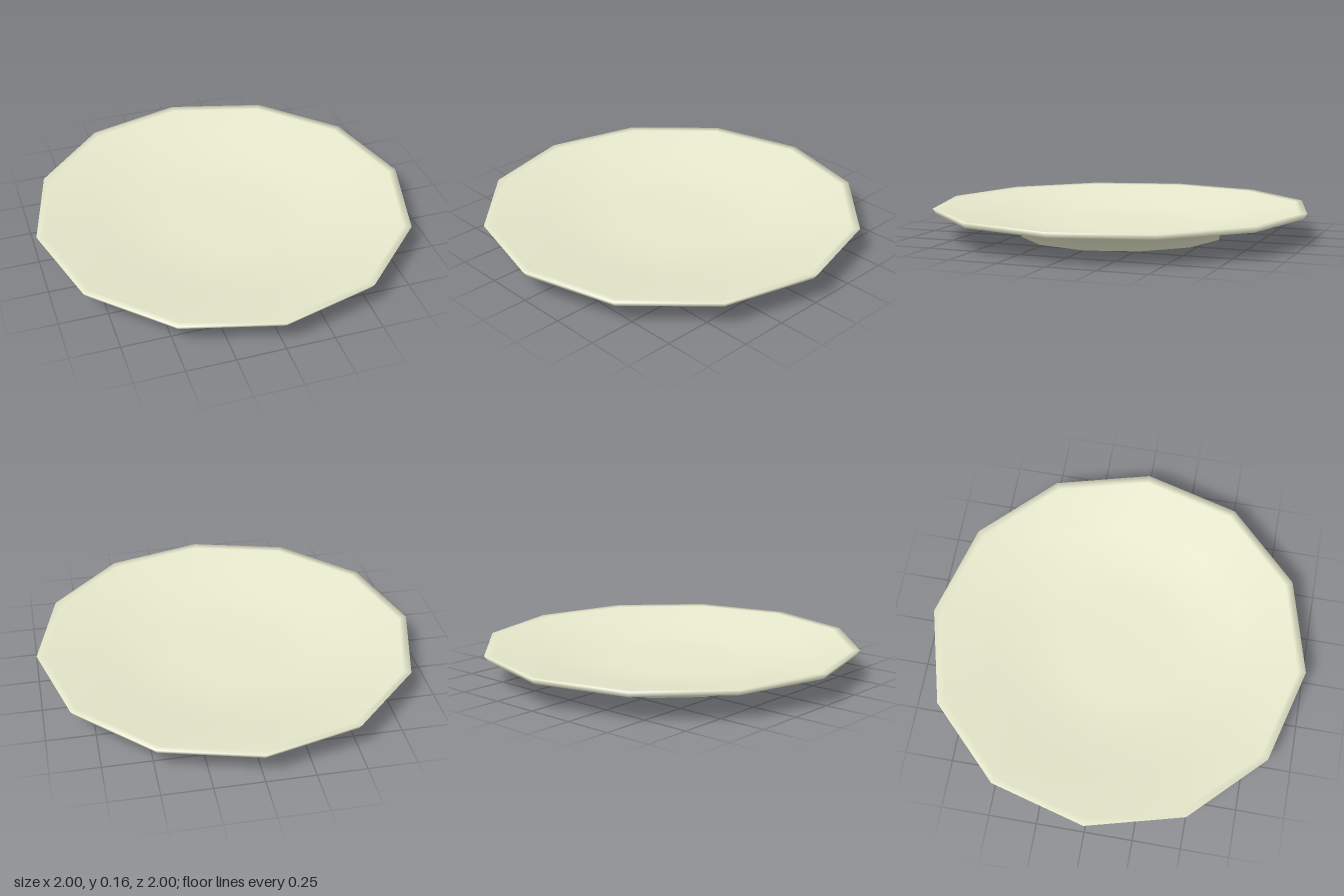
import * as THREE from 'three';

const SIDES = 12;

export function createModel() {
  const group = new THREE.Group();
  group.name = 'plate';
  const glaze = new THREE.MeshStandardMaterial({ color: 0xe6e8cc });

  // Spins a profile of [radius, height] pairs; it runs from the underside out and up
  const turned = (name, profile) => {
    const points = profile.map(([r, y]) => new THREE.Vector2(r, y));
    const mesh = new THREE.Mesh(new THREE.LatheGeometry(points, SIDES), glaze);
    mesh.name = name;
    group.add(mesh);
  };

  // Recessed floor inside the foot ring
  turned('underside', [[0, 0.035], [0.49, 0.03]]);

  // Foot ring, flared underside, rim lip and shallow well
  turned('dish', [
    [0.48, 0.035], [0.5, 0], [0.54, 0], [0.54, 0.03],
    [0.69, 0.08], [0.98, 0.13], [1, 0.16], [0.96, 0.155],
    [0.7, 0.11], [0.5, 0.07], [0.3, 0.06], [0, 0.06],
  ]);

  return group;
}
